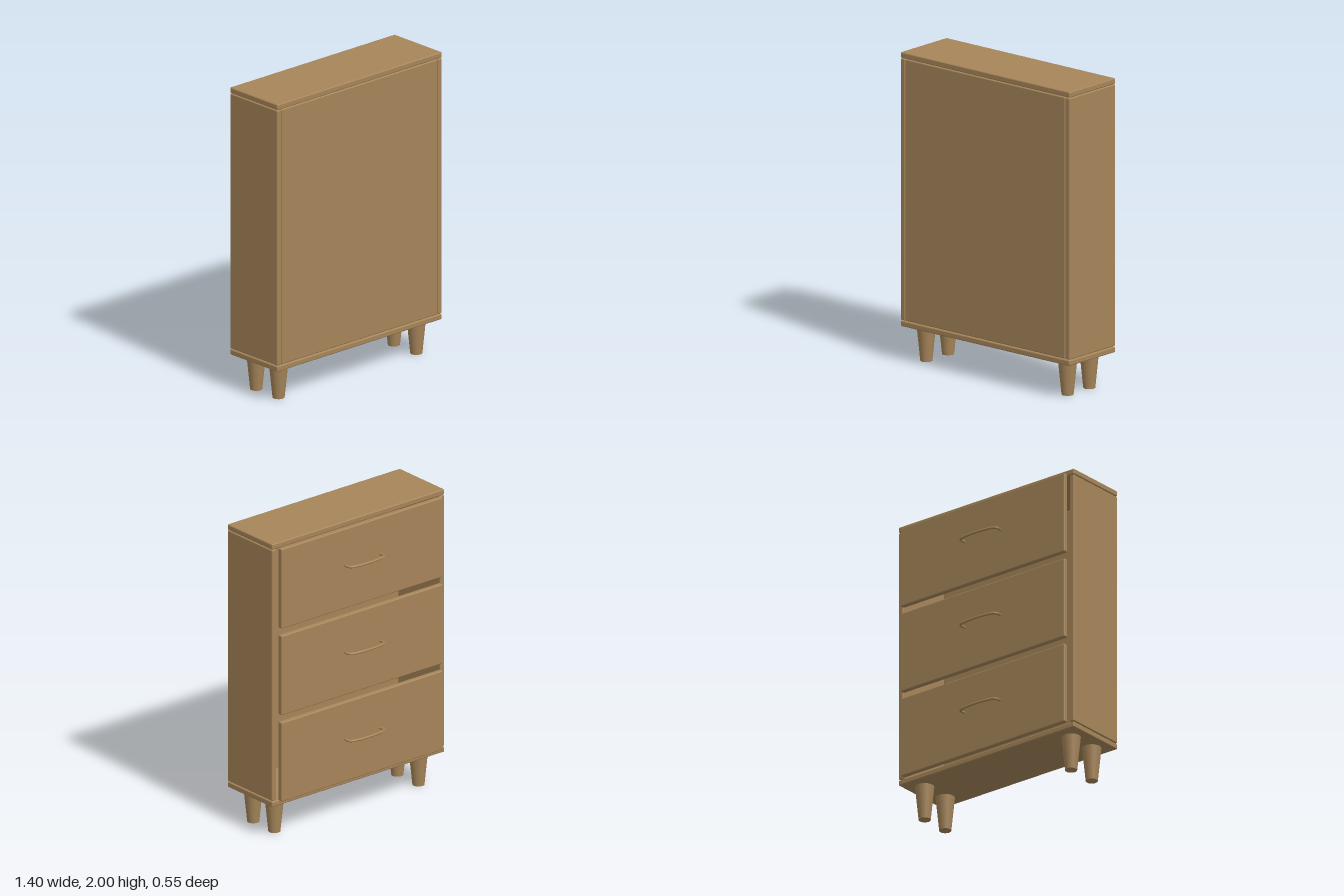
import * as THREE from 'three';
import { RoundedBoxGeometry } from 'three/addons/geometries/RoundedBoxGeometry.js';

const wood = new THREE.MeshStandardMaterial({ color: 0xa68559 });
wood.name = 'wood';

export function createModel() {
  const model = new THREE.Group();
  model.name = 'chestOfDrawers';

  const add = (name, geometry, x = 0, y = 0, z = 0) => {
    const mesh = new THREE.Mesh(geometry, wood);
    mesh.name = name;
    mesh.position.set(x, y, z);
    model.add(mesh);
  };

  // Board with softened edges, given by its limits
  const board = (name, x0, x1, y0, y1, z0, z1) => add(
    name,
    new RoundedBoxGeometry(x1 - x0, y1 - y0, z1 - z0, 3, 0.008),
    (x0 + x1) / 2, (y0 + y1) / 2, (z0 + z1) / 2
  );

  // Hollow carcass
  const back = -0.162, front = 0.273;
  board('topPanel', -0.7, 0.7, 1.962, 2, back, front);
  board('bottomPanel', -0.7, 0.7, 0.225, 0.262, back, front);
  board('leftSidePanel', 0.664, 0.7, 0.266, 1.96, back, front);
  board('rightSidePanel', -0.7, -0.664, 0.266, 1.96, back, front);
  board('largePanel', -0.662, 0.662, 0.266, 1.96, front - 0.036, front);

  // Curved pull handle shared by all drawers
  const handlePath = new THREE.CatmullRomCurve3([
    [-0.141, -0.195], [-0.145, -0.228], [-0.132, -0.25], [-0.08, -0.262], [0, -0.267],
    [0.08, -0.262], [0.132, -0.25], [0.145, -0.228], [0.141, -0.195]
  ].map(([x, z]) => new THREE.Vector3(x, 0, z)));
  const handle = new THREE.TubeGeometry(handlePath, 48, 0.008, 12);

  // Three drawer fronts with handles
  [[0.262, 0.797, 0.55], [0.845, 1.382, 1.138], [1.43, 1.968, 1.725]].forEach(([y0, y1, pullY], i) => {
    board(`drawerFront${i + 1}`, -0.655, 0.655, y0, y1, -0.2, -0.166);
    add(`drawerHandle${i + 1}`, handle, 0, pullY, 0);
  });

  // Tapered round legs
  const leg = new THREE.CylinderGeometry(0.061, 0.038, 0.228, 32);
  for (const x of [-0.585, 0.585])
    for (const z of [-0.045, 0.16]) add('leg', leg, x, 0.114, z);

  return model;
}
